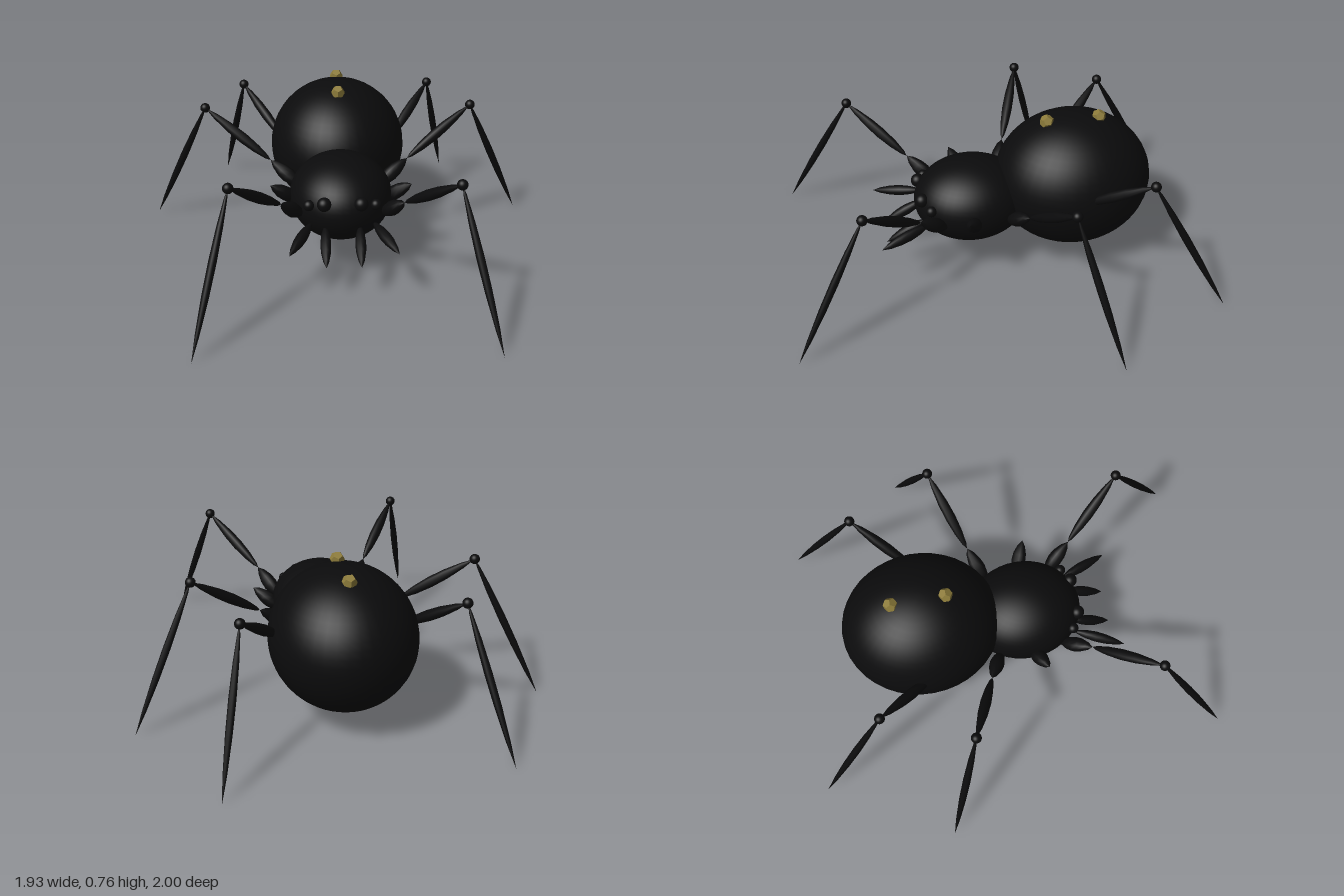
import * as THREE from 'three';

export function createModel() {
  const model = new THREE.Group();
  const paint = (name, color, flatShading = false) => {
    const m = new THREE.MeshStandardMaterial({ color, flatShading });
    m.name = name;
    return m;
  };
  const black = paint('body black', 0x0b0b0c);
  const gold = paint('spot gold', 0x8c7b3a, true);

  const add = (parent, name, geometry, material, position) => {
    const mesh = new THREE.Mesh(geometry, material);
    mesh.name = name;
    mesh.position.set(...position);
    parent.add(mesh);
    return mesh;
  };
  const ball = (parent, name, pos, radii) =>
    add(parent, name, new THREE.SphereGeometry(1, 40, 28).scale(...radii), black, pos);

  // Spindle limb, pointed at both ends, running from a to b
  const profile = [[0, 0], [0.4, 0.06], [0.8, 0.22], [1, 0.42], [0.92, 0.62], [0.55, 0.84], [0, 1]];
  const spindle = (parent, name, a, b, radius) => {
    const from = new THREE.Vector3(...a);
    const dir = new THREE.Vector3(...b).sub(from);
    const length = dir.length();
    const points = profile.map(([r, t]) => new THREE.Vector2(r * radius, t * length));
    const mesh = add(parent, name, new THREE.LatheGeometry(points, 10), black, a);
    mesh.quaternion.setFromUnitVectors(new THREE.Vector3(0, 1, 0), dir.normalize());
  };

  // Body
  ball(model, 'abdomen', [0, 0.402, -0.395], [0.343, 0.333, 0.385]);
  ball(model, 'head', [0, 0.34, 0.11], [0.245, 0.2, 0.28]);

  // Gold spots on the back
  for (const z of [-0.26, -0.515]) {
    add(model, 'backSpot', new THREE.DodecahedronGeometry(0.035), gold, [0, 0.723, z]);
  }

  // Hip, thigh, knee and shin points; the second pair has hips only
  const legs = [
    { name: 'frontLeg', root: [0.19, 0.31, 0.26], hip: [0.28, 0.425, 0.39], knee: [0.492, 0.637, 0.66], foot: [0.65, 0, 1] },
    { name: 'secondHip', root: [0.2, 0.31, 0.11], hip: [0.335, 0.415, 0.17] },
    { name: 'thirdLeg', root: [0.19, 0.31, -0.04], hip: [0.34, 0.425, -0.11], knee: [0.663, 0.657, -0.24], foot: [0.963, 0, -0.418] },
    { name: 'rearLeg', root: [0.15, 0.31, -0.2], hip: [0.28, 0.425, -0.38], knee: [0.492, 0.637, -0.647], foot: [0.632, 0, -1] },
  ];

  for (const side of [1, -1]) {
    const word = side > 0 ? 'left' : 'right';
    const flip = ([x, y, z]) => [x * side, y, z];

    for (const { name, root, hip, knee, foot } of legs) {
      const leg = new THREE.Group();
      leg.name = `${word} ${name}`;
      model.add(leg);
      spindle(leg, 'hip', flip(root), flip(hip), 0.036);
      if (!knee) continue;
      spindle(leg, 'thigh', flip(hip), flip(knee), 0.026);
      ball(leg, 'knee', flip(knee), [0.024, 0.024, 0.024]);
      spindle(leg, 'shin', flip(knee), flip(foot), 0.018);
    }

    // Face
    spindle(model, `${word} fang`, flip([0.08, 0.285, 0.34]), flip([0.08, 0.175, 0.54]), 0.026);
    spindle(model, `${word} feeler`, flip([0.145, 0.3, 0.34]), flip([0.245, 0.26, 0.575]), 0.026);
    ball(model, `${word} front eye`, flip([0.085, 0.405, 0.36]), [0.033, 0.033, 0.033]);
    ball(model, `${word} side eye`, flip([0.155, 0.385, 0.325]), [0.026, 0.026, 0.026]);
  }
  return model;
}
